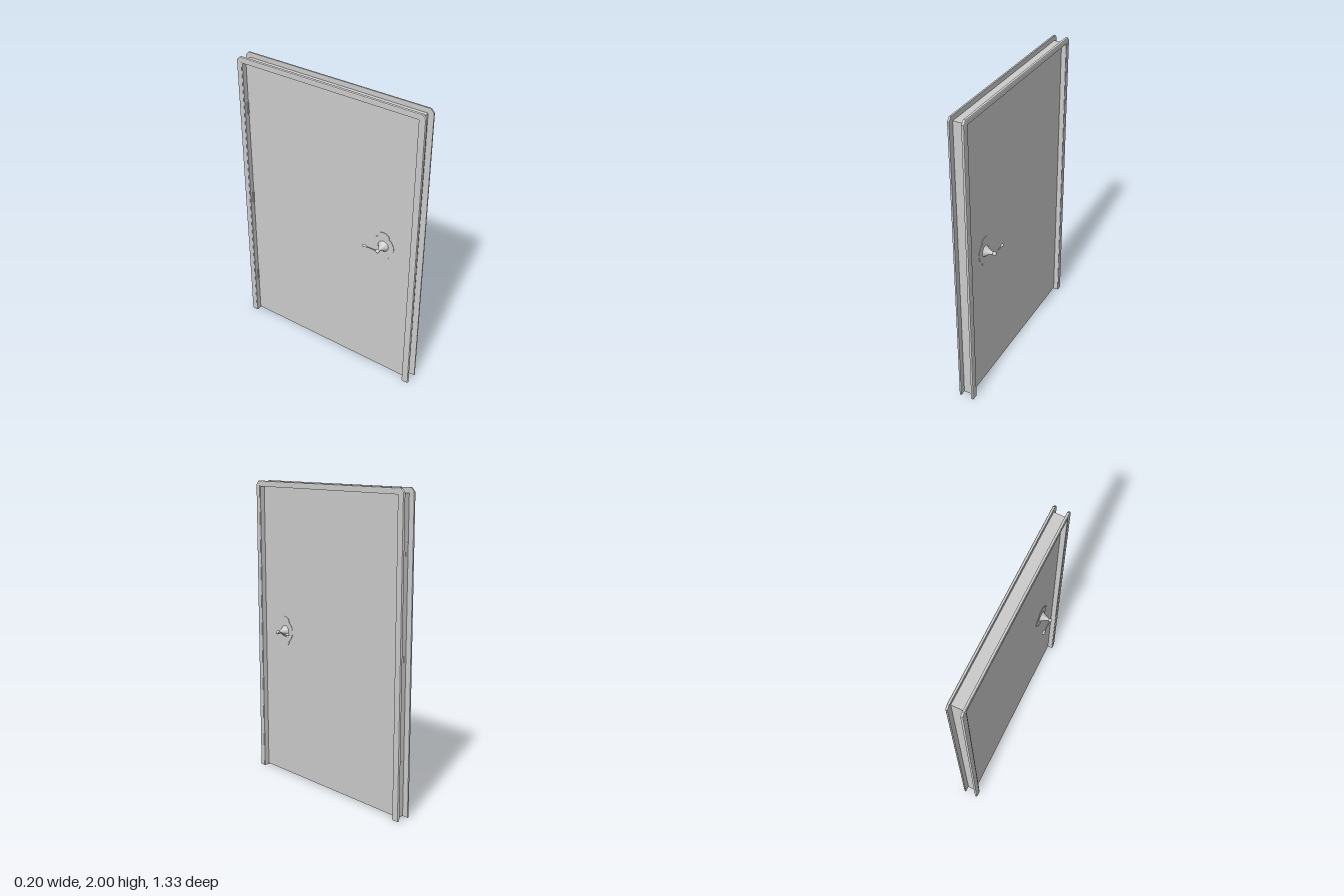
import * as THREE from 'three';

const material = new THREE.MeshStandardMaterial({ color: 0xcccccc });
const HANDLE_Z = 0.415, HANDLE_Y = 1.01, DOOR_HALF = 0.019;

function add(parent, name, geometry, x = 0, y = 0, z = 0) {
  const mesh = new THREE.Mesh(geometry, material);
  mesh.name = name;
  mesh.position.set(x, y, z);
  parent.add(mesh);
  return mesh;
}

function lathe(points, segments = 24) {
  return new THREE.LatheGeometry(points.map(([r, h]) => new THREE.Vector2(r, h)), segments);
}

// Casing: a bevelled section swept up one jamb, across the head and down again.
function casingGeometry(side) {
  // each station: inner z, inner y, outer z, outer y
  const half = [
    [0.627, 0, 0.667, 0],
    [0.627, 1.968, 0.664, 1.976],
    [0.627, 1.968, 0.642, 2],
  ];
  const stations = [...half, ...half.map(([a, b, c, d]) => [-a, b, -c, d]).reverse()];
  // section: share of the way outward, distance from the wall's middle
  const section = [[0, 0.037], [1, 0.037], [1, 0.045], [0.93, 0.05], [0.8, 0.052], [0, 0.052]];
  const n = section.length;
  const positions = [], index = [];
  for (const [iz, iy, oz, oy] of stations) {
    for (const [t, x] of section) {
      positions.push(side * x, iy + t * (oy - iy), iz + t * (oz - iz));
    }
  }
  const tri = (a, b, c) => index.push(...(side > 0 ? [a, b, c] : [a, c, b]));
  for (let j = 0; j < stations.length - 1; j++) {
    for (let k = 0; k < n; k++) {
      const a = j * n + k, b = j * n + (k + 1) % n;
      tri(a, b, b + n);
      tri(a, b + n, a + n);
    }
  }
  // feet
  const last = (stations.length - 1) * n;
  for (let k = 1; k < n - 1; k++) {
    tri(0, k + 1, k);
    tri(last, last + k, last + k + 1);
  }
  const geometry = new THREE.BufferGeometry();
  geometry.setAttribute('position', new THREE.Float32BufferAttribute(positions, 3));
  geometry.setIndex(index);
  const flat = geometry.toNonIndexed();
  flat.computeVertexNormals();
  return flat;
}

// Backplate: a disc with a rounded lobe above and below.
function backplateGeometry() {
  const shape = new THREE.Shape();
  const r = 0.075, w = 0.041, a = 0.85;
  const cx = r * Math.cos(a), cy = r * Math.sin(a);
  shape.moveTo(cx, -cy);
  shape.absarc(0, 0, r, -a, a, false);
  shape.lineTo(w, 0.062);
  shape.bezierCurveTo(w + 0.004, 0.113, -w - 0.004, 0.113, -w, 0.062);
  shape.lineTo(-cx, cy);
  shape.absarc(0, 0, r, Math.PI - a, Math.PI + a, false);
  shape.lineTo(-w, -0.062);
  shape.bezierCurveTo(-w - 0.004, -0.113, w + 0.004, -0.113, w, -0.062);
  shape.closePath();
  return new THREE.ExtrudeGeometry(shape, { depth: 0.003, bevelEnabled: false, curveSegments: 16 });
}

function createHandle(side) {
  const handle = new THREE.Group();
  handle.name = side > 0 ? 'leftHandle' : 'rightHandle';
  handle.position.set(side * DOOR_HALF, HANDLE_Y, HANDLE_Z);

  add(handle, 'backplate', backplateGeometry()).rotation.y = side * Math.PI / 2;

  // flared spindle running out from the door
  const spindle = lathe([[0.038, 0], [0.037, 0.005], [0.03, 0.012], [0.021, 0.026],
    [0.016, 0.036], [0.011, 0.046], [0.009, 0.06]]);
  add(handle, 'spindle', spindle).rotation.z = -side * Math.PI / 2;

  const reach = side * 0.066;
  add(handle, 'leverBoss', new THREE.SphereGeometry(0.013, 20, 14), reach);

  // lever with a swollen tip, pointing at the hinges
  const lever = lathe([[0.006, 0], [0.004, 0.03], [0.004, 0.07], [0.0055, 0.084],
    [0.009, 0.096], [0.009, 0.104], [0.006, 0.111], [0, 0.114]], 16);
  add(handle, 'lever', lever, reach).rotation.x = -Math.PI / 2;
  return handle;
}

export function createModel() {
  const model = new THREE.Group();
  model.name = 'door';

  add(model, 'doorLeaf', new THREE.BoxGeometry(DOOR_HALF * 2, 1.951, 1.236), 0, 0.9855, 0);

  // lining boards around the opening
  const frame = new THREE.Group();
  frame.name = 'frame';
  model.add(frame);
  for (const s of [1, -1]) {
    add(frame, s > 0 ? 'latchJamb' : 'hingeJamb',
      new THREE.BoxGeometry(0.1, 1.968, 0.006), 0, 0.984, s * 0.624);
  }
  add(frame, 'headJamb', new THREE.BoxGeometry(0.1, 0.005, 1.242), 0, 1.9655, 0);

  // casing and handle on both faces
  for (const side of [1, -1]) {
    add(frame, side > 0 ? 'leftCasing' : 'rightCasing', casingGeometry(side));
    model.add(createHandle(side));
  }

  // hinges let through the jamb
  for (const y of [0.32, 0.98, 1.65]) {
    add(model, 'hinge', new THREE.BoxGeometry(0.012, 0.08, 0.014), -0.023, y, -0.622);
  }
  return model;
}
